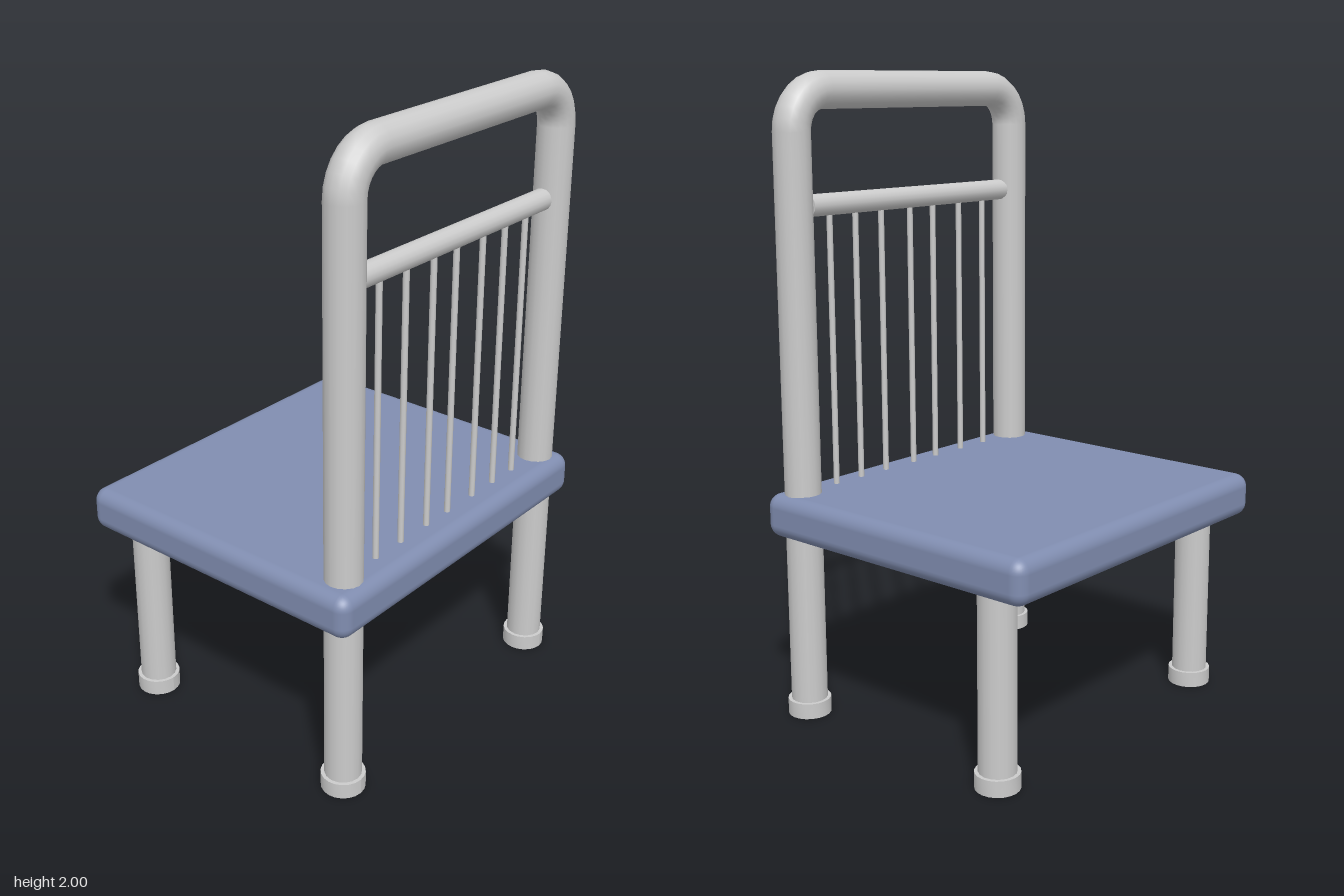
import * as THREE from 'three';
import { RoundedBoxGeometry } from 'three/addons/geometries/RoundedBoxGeometry.js';

const metal = new THREE.MeshStandardMaterial({ color: 0xcccccc });
const seatPaint = new THREE.MeshStandardMaterial({ color: 0x808db0 });

const R = 0.057;           // main tube radius
const BEND = 0.12;         // bend radius of the tube centre line
const TOP = 1.943;         // height of the top rail's centre line
const LEFT = 0.501, RIGHT = -0.485;
const BACK_Z = 0.428, FRONT_Z = -0.363;

export function createModel() {
  const model = new THREE.Group();

  const add = (name, geometry, x, y, z, material = metal) => {
    const mesh = new THREE.Mesh(geometry, material);
    mesh.name = name;
    mesh.position.set(x, y, z);
    model.add(mesh);
    return mesh;
  };
  const upright = (name, x, z, y0, y1, r, sides = 16) =>
    add(name, new THREE.CylinderGeometry(r, r, y1 - y0, sides), x, (y0 + y1) / 2, z);
  const crossbar = (name, x0, x1, y, z, r) => {
    const bar = add(name, new THREE.CylinderGeometry(r, r, x1 - x0, 16), (x0 + x1) / 2, y, z);
    bar.rotation.z = Math.PI / 2;
  };

  // Seat slab with softened edges
  add('seat', new RoundedBoxGeometry(1.174, 0.138, 1.03, 4, 0.042), -0.002, 0.655, 0, seatPaint);

  // Hollow foot cap; doubled profile points keep its edges sharp
  const p = (x, y) => new THREE.Vector2(x, y);
  const footShape = new THREE.LatheGeometry([
    p(0.052, 0.03), p(0.052, 0), p(0.052, 0), p(0.068, 0), p(0.068, 0),
    p(0.068, 0.05), p(0.068, 0.05), p(0.05, 0.05),
  ], 20);
  footShape.computeVertexNormals();

  // Legs, back posts and rounded frame corners on both sides
  for (const [side, x, inward] of [['left', LEFT, -1], ['right', RIGHT, 1]]) {
    upright(side + 'BackPost', x, BACK_Z, 0.025, TOP - BEND, R);
    upright(side + 'FrontLeg', x, FRONT_Z, 0.025, 0.62, R);
    for (const [end, z] of [['Back', BACK_Z], ['Front', FRONT_Z]]) {
      add(side + end + 'Foot', footShape, x, 0, z).material = footMetal;
    }
    const bend = add(side + 'FrameBend',
      new THREE.TorusGeometry(BEND, R, 16, 7, Math.PI / 2),
      x + inward * BEND, TOP - BEND, BACK_Z);
    if (inward > 0) bend.rotation.z = Math.PI / 2;
  }

  // Top rail and lower back rail
  crossbar('topRail', RIGHT + BEND, LEFT - BEND, TOP, BACK_Z, R);
  crossbar('backRail', -0.437, 0.447, 1.603, BACK_Z, 0.034);

  // Thin back spindles
  [-0.341, -0.223, -0.097, 0.01, 0.14, 0.252, 0.36].forEach((x, i) =>
    upright('spindle' + (i + 1), x, BACK_Z, 0.68, 1.6, 0.0095, 10));

  return model;
}

// Open ring shape shows both faces
const footMetal = new THREE.MeshStandardMaterial({ color: 0xcccccc, side: THREE.DoubleSide });
